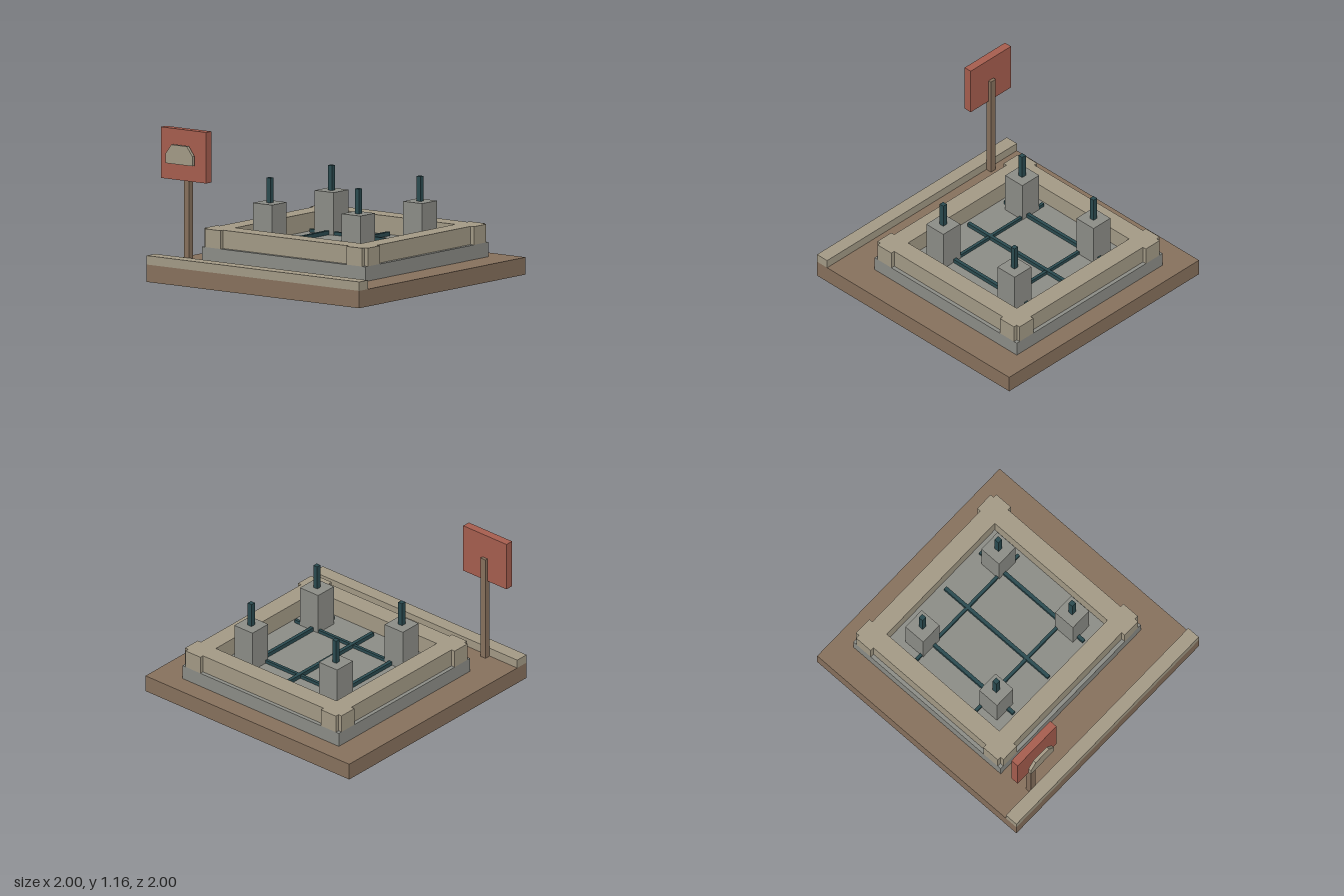
import * as THREE from 'three';

const mat = (name, color) => {
  const m = new THREE.MeshStandardMaterial({ color });
  m.name = name;
  return m;
};

export function createModel() {
  const model = new THREE.Group();
  model.name = 'foundationSite';
  const earth = mat('earthBrown', 0x86705c);
  const sand = mat('sandTan', 0xa29985);
  const concrete = mat('concreteGrey', 0x8b8c86);
  const red = mat('signRed', 0xa55d4e);
  const steel = mat('darkSteel', 0x2a4a4f);

  const add = (name, geometry, material, parent = model) => {
    const mesh = new THREE.Mesh(geometry, material);
    mesh.name = name;
    parent.add(mesh);
    return mesh;
  };
  // Box given by its minimum and maximum along each axis
  const box = (name, material, [x0, x1], [y0, y1], [z0, z1], parent) => {
    const g = new THREE.BoxGeometry(x1 - x0, y1 - y0, z1 - z0);
    g.translate((x0 + x1) / 2, (y0 + y1) / 2, (z0 + z1) / 2);
    return add(name, g, material, parent);
  };
  const around = (c, width) => [c - width / 2, c + width / 2];

  // Ground and front kerb
  box('ground', earth, [-1, 1], [0, 0.13], [-1, 1]);
  box('kerb', sand, [-1, 1], [0.13, 0.197], [0.895, 1]);

  // Foundation slab
  const cz = -0.11;
  box('slab', concrete, [-0.768, 0.768], [0.13, 0.24], [cz - 0.74, cz + 0.74]);

  // Wall ring: corner blocks stand proud of the walls and have notched corners
  const X = 0.768, Z = 0.74, n = 0.03, ix = 0.592, iz = 0.565;
  const quarter = [[X - n, iz], [X, iz], [X, Z - n], [X - n, Z - n], [X - n, Z], [ix, Z], [ix, Z - n]];
  const outline = [];
  for (const [sx, sz] of [[1, 1], [-1, 1], [-1, -1], [1, -1]]) {
    const pts = quarter.map(([x, z]) => new THREE.Vector2(x * sx, z * sz));
    outline.push(...(sx * sz > 0 ? pts : pts.reverse()));
  }
  const ring = new THREE.Shape(outline);
  ring.holes.push(new THREE.Path([
    new THREE.Vector2(-ix, -iz), new THREE.Vector2(-ix, iz),
    new THREE.Vector2(ix, iz), new THREE.Vector2(ix, -iz),
  ]));
  const ringGeometry = new THREE.ExtrudeGeometry(ring, { depth: 0.137, bevelEnabled: false });
  ringGeometry.rotateX(-Math.PI / 2).translate(0, 0.24, cz);
  add('wallRing', ringGeometry, sand);

  // Reinforcing bar grid
  const bars = new THREE.Group();
  bars.name = 'barGrid';
  model.add(bars);
  for (const x of [-0.385, 0, 0.385]) {
    box('longBar', steel, around(x, 0.028), [0.24, 0.27], [-0.63, 0.41], bars);
  }
  for (const z of [-0.407, 0.188]) {
    box('crossBar', steel, [-0.56, 0.56], [0.24, 0.265], around(z, 0.024), bars);
  }

  // Piers with anchor rods
  for (const x of [-0.416, 0.416]) {
    for (const z of [-0.478, 0.263]) {
      const pier = new THREE.Group();
      pier.name = 'pier';
      model.add(pier);
      box('pierBlock', concrete, around(x, 0.178), [0.24, 0.56], around(z, 0.178), pier);
      box('anchorRod', steel, around(x, 0.038), [0.56, 0.747], around(z, 0.038), pier);
    }
  }

  // Sign: post, board and raised emblem plate
  const sign = new THREE.Group();
  sign.name = 'sign';
  model.add(sign);
  box('signPost', earth, [-0.729, -0.679], [0.13, 0.97], [0.848, 0.896], sign);
  box('signBoard', red, [-0.915, -0.49], [0.78, 1.163], [0.872, 0.935], sign);
  const plate = new THREE.Shape([
    [-0.828, 0.907], [-0.577, 0.907], [-0.577, 0.98], [-0.63, 1.05], [-0.775, 1.05], [-0.828, 0.98],
  ].map(([x, y]) => new THREE.Vector2(x, y)));
  const plateGeometry = new THREE.ExtrudeGeometry(plate, { depth: 0.025, bevelEnabled: false });
  plateGeometry.translate(0, 0, 0.964);
  add('signPlate', plateGeometry, sand, sign);

  return model;
}
